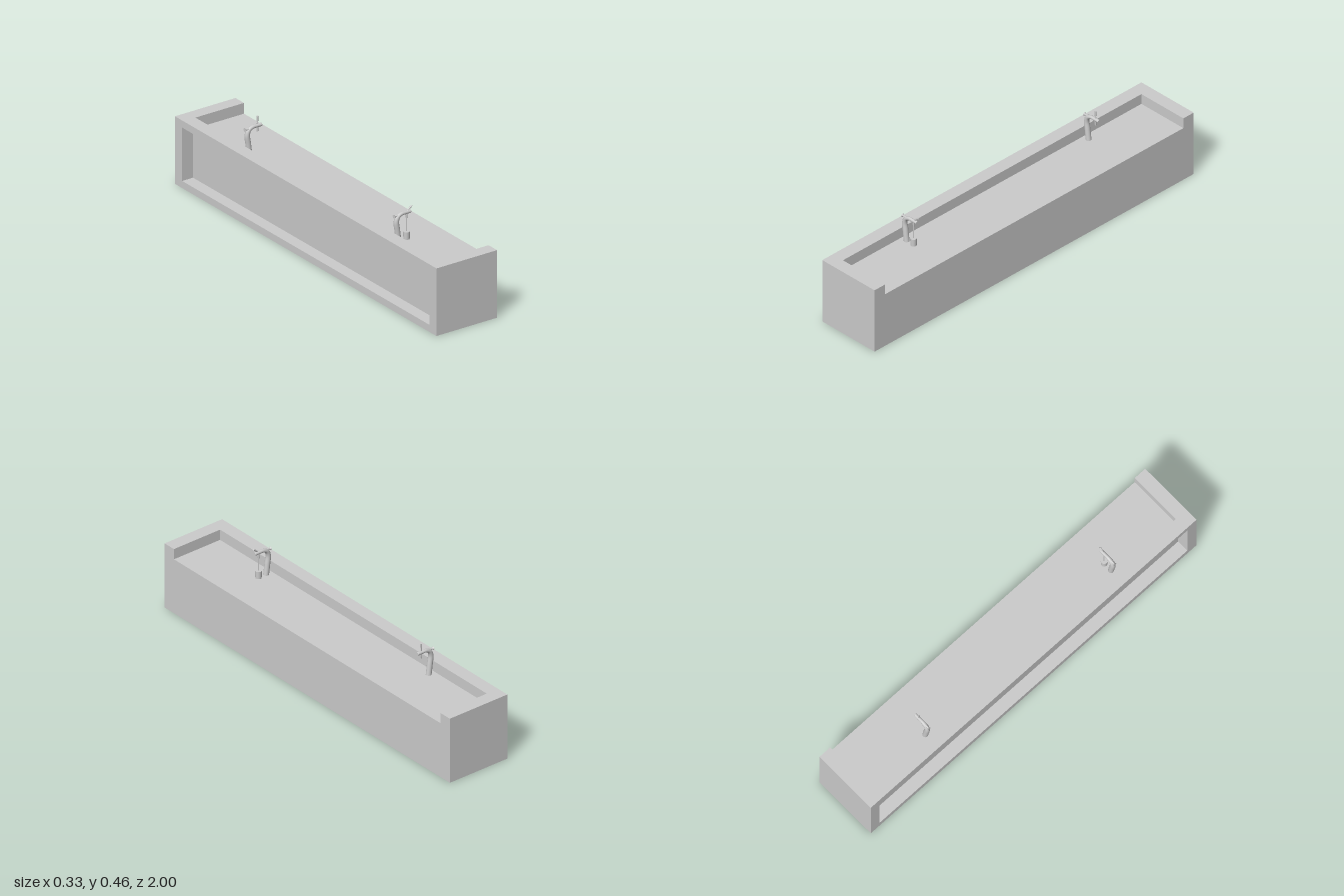
import * as THREE from 'three';

const grey = new THREE.MeshStandardMaterial({ color: 0xcccccc });
const V = (x, y, z = 0) => new THREE.Vector3(x, y, z);

function add(parent, name, geometry) {
  const mesh = new THREE.Mesh(geometry, grey);
  mesh.name = name;
  parent.add(mesh);
  return mesh;
}

// Extrudes an x/y outline between two z positions
function slab(parent, name, outline, z0, z1) {
  const shape = new THREE.Shape(outline.map(([x, y]) => new THREE.Vector2(x, y)));
  const geo = new THREE.ExtrudeGeometry(shape, { depth: z1 - z0, bevelEnabled: false });
  geo.translate(0, 0, z0);
  add(parent, name, geo);
}

// Tapered rod running from a to b
function rod(parent, name, a, b, rA, rB, sides = 16) {
  const dir = b.clone().sub(a);
  const mesh = add(parent, name, new THREE.CylinderGeometry(rB, rA, dir.length(), sides));
  mesh.position.copy(a).add(b).multiplyScalar(0.5);
  mesh.quaternion.setFromUnitVectors(V(0, 1, 0), dir.normalize());
}

// Curved pipe whose radius shrinks from base to tip
function taperedPipe(parent, name, points, rBase, rTip) {
  const curve = new THREE.CatmullRomCurve3(points);
  const rings = 32, sides = 16;
  const geo = new THREE.TubeGeometry(curve, rings, 1, sides);
  const pos = geo.attributes.position, p = V(0, 0);
  for (let i = 0; i < pos.count; i++) {
    const t = Math.floor(i / (sides + 1)) / rings;
    const centre = curve.getPointAt(t);
    const r = THREE.MathUtils.lerp(rBase, rTip, THREE.MathUtils.smoothstep(t, 0.4, 0.85));
    p.fromBufferAttribute(pos, i).sub(centre).multiplyScalar(r).add(centre);
    pos.setXYZ(i, p.x, p.y, p.z);
  }
  add(parent, name, geo);
}

function faucet(name, z, leverTip) {
  const g = new THREE.Group();
  g.name = name;
  g.position.z = z;
  taperedPipe(g, 'spoutPipe', [
    V(-0.066, 0.279), V(-0.073, 0.333), V(-0.078, 0.377), V(-0.070, 0.399),
    V(-0.051, 0.409), V(-0.025, 0.410), V(-0.003, 0.410),
  ], 0.0132, 0.0082);
  rod(g, 'spoutEnd', V(-0.004, 0.41), V(0, 0.41), 0.0082, 0.007);
  rod(g, 'aerator', V(-0.022, 0.381), V(-0.022, 0.408), 0.0035, 0.005);
  // Flared knob behind the bend
  rod(g, 'knobStem', V(-0.086, 0.406), V(-0.07, 0.406), 0.004, 0.006);
  rod(g, 'knob', V(-0.092, 0.406), V(-0.086, 0.406), 0.009, 0.004);
  // Lever: slim neck and thicker grip
  const base = V(-0.022, 0.412), middle = base.clone().lerp(leverTip, 0.4);
  rod(g, 'leverNeck', base, middle, 0.0035, 0.003);
  rod(g, 'leverGrip', middle, leverTip, 0.0035, 0.0045);
  return g;
}

export function createModel() {
  const model = new THREE.Group();
  const W = 0.167, H = 0.333, floor = 0.28;
  const basinX = -0.101, basinZ = 0.935;
  const panelX = -0.107, panelZ = 0.945, low = 0.035, high = 0.298;

  // Counter: L-shaped section with a recessed panel on the -x side
  const recess = [[-W, high], [panelX, high], [panelX, low], [-W, low]];
  const counter = new THREE.Group();
  counter.name = 'counter';
  model.add(counter);
  slab(counter, 'basinSection', [[-W, 0], [W, 0], [W, floor], [basinX, floor], [basinX, H], [-W, H], ...recess], -basinZ, basinZ);
  for (const s of [-1, 1]) {
    const section = (name, outline, a, b) => slab(counter, name, outline, Math.min(s * a, s * b), Math.max(s * a, s * b));
    section('panelEnd', [[-W, 0], [W, 0], [W, H], [-W, H], ...recess], basinZ, panelZ);
    section('endBlock', [[-W, 0], [W, 0], [W, H], [-W, H]], panelZ, 1);
  }

  // Open tap with water running into a cup, and a closed tap
  const running = faucet('runningFaucet', 0.57, V(0.006, 0.436));
  rod(running, 'waterStream', V(-0.022, 0.285), V(-0.022, 0.385), 0.002, 0.002, 10);
  rod(running, 'cup', V(-0.022, 0.28), V(-0.022, 0.317), 0.0145, 0.0155, 20);
  model.add(running, faucet('closedFaucet', -0.57, V(-0.022, 0.457)));
  return model;
}
